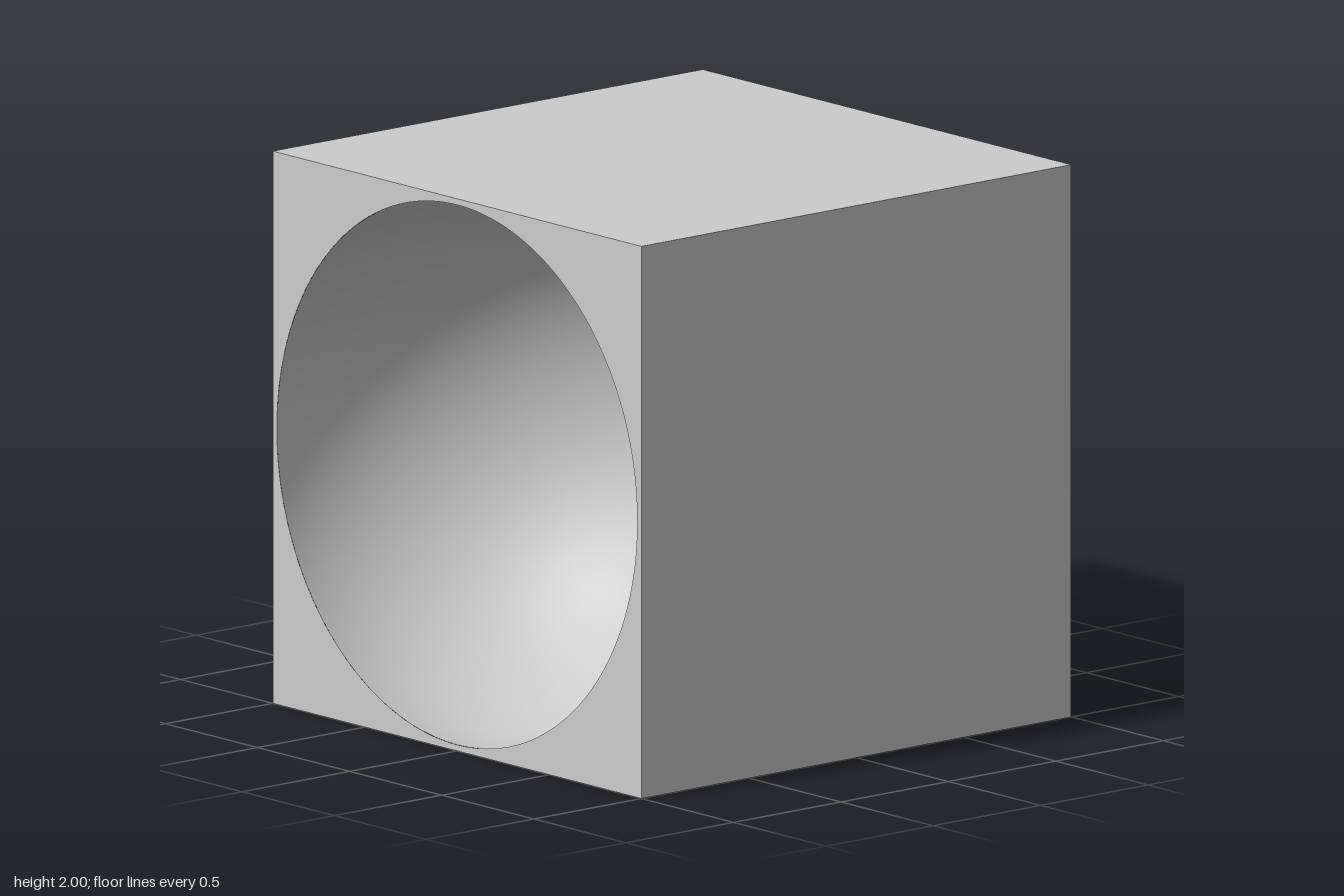
import * as THREE from 'three';

const SEG = 96;      // segments round the hollow
const OFFSET = 0.21; // depth of the hollow's centre behind the open face
const RADIUS = 1;

export function createModel() {
  const model = new THREE.Group();
  const material = new THREE.MeshStandardMaterial({ color: 0xcccccc });

  const add = (name, geometry) => {
    const mesh = new THREE.Mesh(geometry, material);
    mesh.name = name;
    mesh.position.y = 1;
    model.add(mesh);
  };

  // One cube face, optionally pierced by a round hole, turned into place
  const face = (name, rotX, rotY, hole) => {
    const shape = new THREE.Shape();
    shape.moveTo(-1, -1).lineTo(1, -1).lineTo(1, 1).lineTo(-1, 1).closePath();
    if (hole) {
      shape.holes.push(new THREE.Path().absarc(hole.x, 0, hole.r, 0, Math.PI * 2, true));
    }
    const geometry = new THREE.ShapeGeometry(shape, hole ? hole.segments : 1);
    add(name, geometry.translate(0, 0, 1).rotateX(rotX).rotateY(rotY));
  };

  const rim = Math.sqrt(RADIUS * RADIUS - OFFSET * OFFSET);
  face('frontFace', 0, 0);
  face('leftFace', 0, Math.PI / 2);
  // Pinhole where the hollow touches the back
  face('backFace', 0, Math.PI, { x: 1 - OFFSET, r: 0.012, segments: 12 });
  face('openFace', 0, -Math.PI / 2, { x: 0, r: rim, segments: SEG });
  face('topFace', -Math.PI / 2, 0);
  face('bottomFace', Math.PI / 2, 0);

  // Spherical hollow, profiled from rim to pole so it faces inwards
  const profile = [];
  const start = Math.asin(OFFSET / RADIUS);
  const steps = 48;
  for (let i = 0; i <= steps; i++) {
    const a = start + (-Math.PI / 2 - start) * (i / steps);
    profile.push(new THREE.Vector2(Math.max(0, RADIUS * Math.cos(a)), RADIUS * Math.sin(a)));
  }
  const hollow = new THREE.LatheGeometry(profile, SEG);
  add('sphericalHollow', hollow.rotateZ(Math.PI / 2).translate(-1 + OFFSET, 0, 0));

  return model;
}
